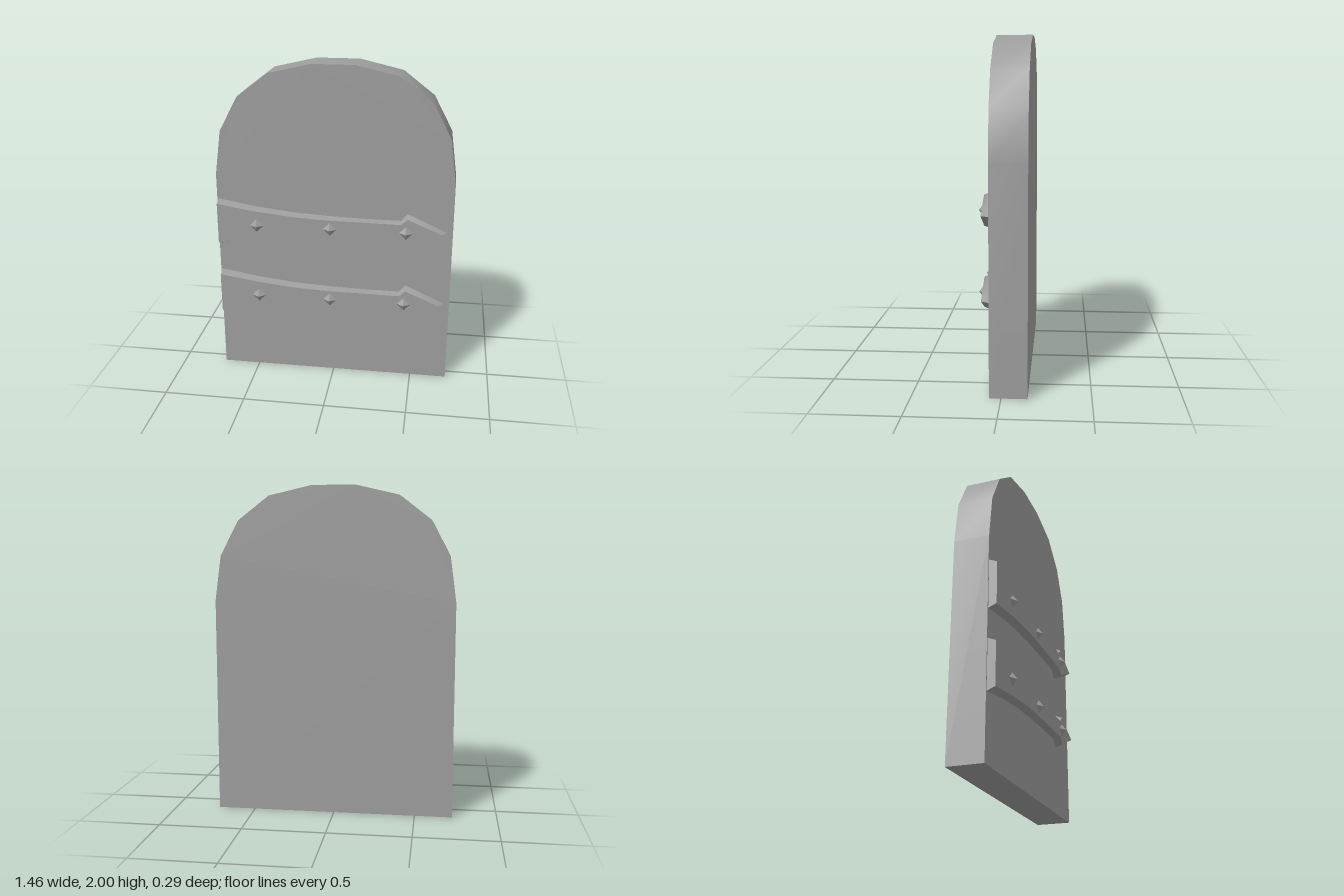
import * as THREE from 'three';
import { mergeGeometries, toCreasedNormals } from 'three/addons/utils/BufferGeometryUtils.js';

const BACK = -0.146, FACE = 0.067, STRAP_FACE = 0.115, STUD_TIP = 0.146;
const material = new THREE.MeshStandardMaterial({ color: 0x9d9d9d });
const studMaterial = new THREE.MeshStandardMaterial({ color: 0x9d9d9d, flatShading: true });

function add(parent, name, geometry, mat) {
  const mesh = new THREE.Mesh(geometry, mat);
  mesh.name = name;
  parent.add(mesh);
  return mesh;
}

// Arched slab: one half of the outline, mirrored
function doorGeometry() {
  const half = [[0.728, 0], [0.728, 1.31], [0.69, 1.585], [0.578, 1.795], [0.39, 1.94], [0.13, 2]];
  const mirrored = half.map(([x, y]) => [-x, y]).reverse();
  const shape = new THREE.Shape([...half, ...mirrored].map(([x, y]) => new THREE.Vector2(x, y)));
  const geometry = new THREE.ExtrudeGeometry(shape, { depth: FACE - BACK, bevelEnabled: false });
  geometry.translate(0, 0, BACK);
  return toCreasedNormals(geometry, 0.6);
}

// Smooth ribbon between two rows of points
function ribbon(a, b) {
  const index = [], n = a.length;
  for (let i = 0; i < n - 1; i++) index.push(i, n + i, n + i + 1, i, n + i + 1, i + 1);
  const geometry = new THREE.BufferGeometry();
  geometry.setAttribute('position', new THREE.Float32BufferAttribute([...a, ...b].flat(), 3));
  geometry.setIndex(index);
  return toCreasedNormals(geometry, Math.PI);
}

// Strap with sloped edges, from the hinge end to the arrow tip
function strapGeometry() {
  // x and half height at the door, then x and half height at the strap face
  const stations = [
    [-0.72, 0.149, -0.72, 0.129],
    [-0.475, 0.107, -0.475, 0.091],
    [-0.23, 0.08, -0.23, 0.066],
    [-0.02, 0.069, -0.02, 0.057],
    [0.2, 0.063, 0.2, 0.055],
    [0.412, 0.062, 0.418, 0.053],
    [0.452, 0.108, 0.455, 0.089],
    [0.691, 0, 0.664, 0],
  ];
  const doorRow = (side) => stations.map(([x, h]) => [x, side * h, FACE]);
  const faceRow = (side) => stations.map(([, , x, h]) => [x, side * h, STRAP_FACE]);
  const rows = [doorRow(1), faceRow(1), faceRow(-1), doorRow(-1)];
  const [doorTop, faceTop, faceBottom, doorBottom] = rows;
  return mergeGeometries([
    ribbon(doorTop, faceTop),
    ribbon(faceTop, faceBottom),
    ribbon(faceBottom, doorBottom),
    ribbon([doorBottom[0], doorTop[0]], [faceBottom[0], faceTop[0]]), // hinge end
  ]);
}

export function createModel() {
  const model = new THREE.Group();
  model.name = 'archedDoor';
  add(model, 'doorSlab', doorGeometry(), material);

  // Two hinge straps, each with three pointed studs
  const strap = strapGeometry();
  const stud = new THREE.OctahedronGeometry(1).scale(0.042, 0.042, STUD_TIP - STRAP_FACE);
  [['upper', 1.006], ['lower', 0.53]].forEach(([level, y]) => {
    const hinge = new THREE.Group();
    hinge.name = level + 'Hinge';
    hinge.position.y = y;
    add(hinge, level + 'Strap', strap, material);
    [-0.473, -0.018, 0.447].forEach((x, i) => {
      add(hinge, level + 'Stud' + (i + 1), stud, studMaterial).position.set(x, 0, STRAP_FACE);
    });
    model.add(hinge);
  });
  return model;
}
